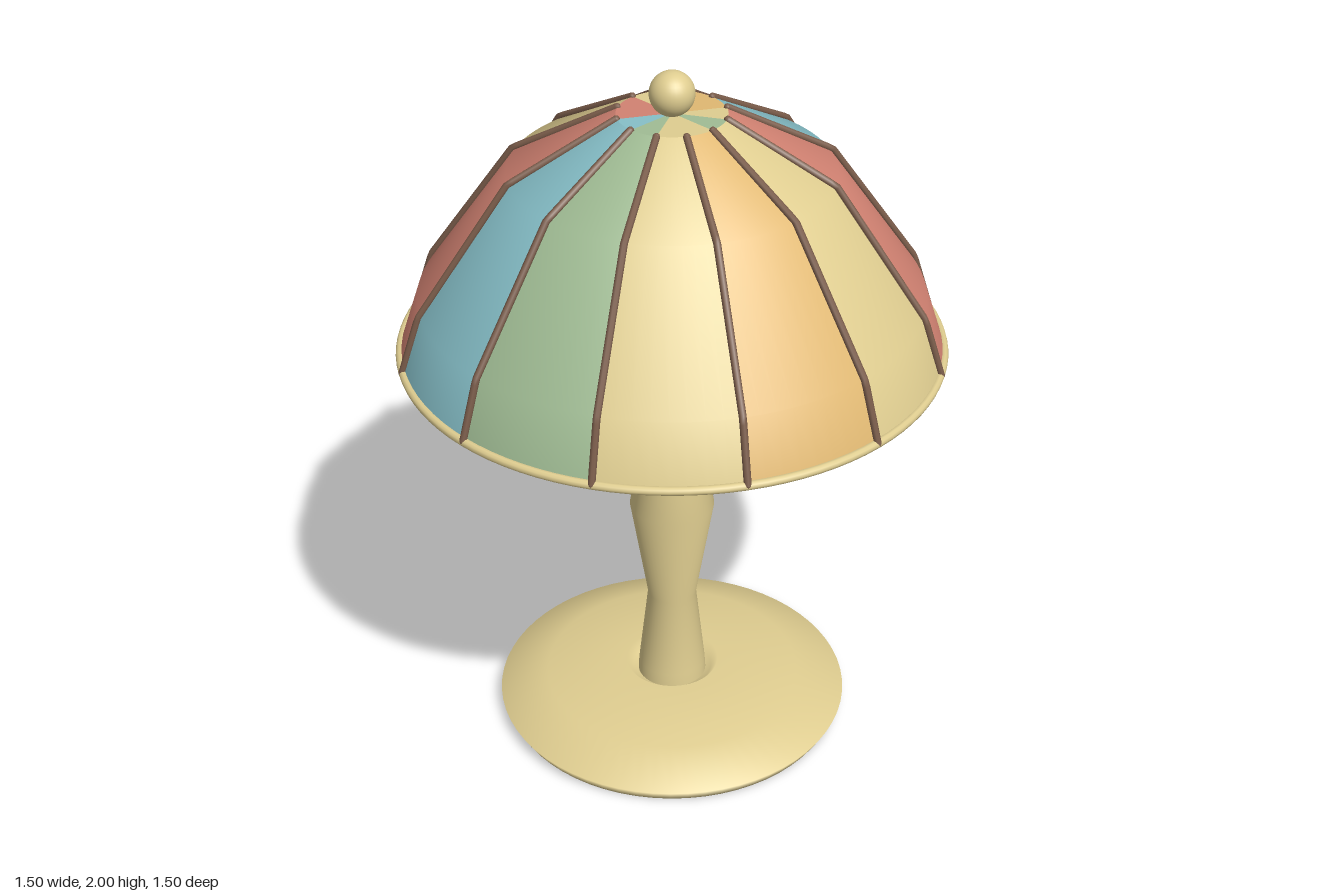
import * as THREE from 'three';

const material = (name, color) => {
  const m = new THREE.MeshStandardMaterial({ color });
  m.name = name;
  return m;
};

export function createModel() {
  const lamp = new THREE.Group();
  lamp.name = 'tableLamp';

  const beige = material('beige', 0xdfcd90);
  const orange = material('amber', 0xe0b872);
  const green = material('sageGreen', 0xa0bc94);
  const blue = material('skyBlue', 0x86bfc8);
  const red = material('coralRed', 0xd28272);
  const brown = material('brown', 0x7a5c4a);

  const add = (name, geometry, mat, parent = lamp) => {
    const mesh = new THREE.Mesh(geometry, mat);
    mesh.name = name;
    parent.add(mesh);
    return mesh;
  };
  const points = (list) => list.map(([r, y]) => new THREE.Vector2(r, y));

  // Base dish with a small recess around the stem
  add('base', new THREE.LatheGeometry(points([
    [0, 0], [0.49, 0], [0.51, 0.035], [0.37, 0.085], [0.135, 0.117], [0.115, 0.09], [0.07, 0.08],
  ]), 64), beige);

  // Turned stem
  add('stem', new THREE.LatheGeometry(points([
    [0.1, 0.08], [0.097, 0.125], [0.07, 0.37], [0.12, 0.68], [0.073, 0.93], [0.048, 1.17],
  ]), 48), beige);
  add('stemTop', new THREE.CircleGeometry(0.048, 48).rotateX(-Math.PI / 2), beige).position.y = 1.17;

  // Shade: twelve coloured panels, each with its cap and underside sector
  const step = Math.PI / 6;
  const shadeProfile = points([[0.735, 1.215], [0.68, 1.38], [0.432, 1.73], [0.145, 1.885]]);
  const panelColors = [orange, beige, green, blue, red, beige];
  const capColors = [beige, beige, green, blue, red, red, beige, beige, orange, orange, beige, green];
  const shade = new THREE.Group();
  shade.name = 'shade';
  lamp.add(shade);

  // Rib path just outside the panels
  const ribPath = new THREE.CurvePath();
  const ribPoints = [[0.738, 1.22], [0.686, 1.38], [0.437, 1.733], [0.147, 1.885]]
    .map(([r, y]) => new THREE.Vector3(r, y, 0));
  for (let k = 0; k < 3; k++) ribPath.add(new THREE.LineCurve3(ribPoints[k], ribPoints[k + 1]));
  const ribGeometry = new THREE.TubeGeometry(ribPath, 48, 0.01, 8);
  const ribEnd = new THREE.SphereGeometry(0.01, 8, 6);

  for (let i = 0; i < 12; i++) {
    add('panel', new THREE.LatheGeometry(shadeProfile, 8, Math.PI / 2 - (i + 1) * step, step),
      panelColors[i % 6], shade);
    add('capSector', new THREE.CircleGeometry(0.145, 8, -(i + 1) * step, step).rotateX(-Math.PI / 2),
      capColors[i], shade).position.y = 1.885;
    add('undersideSector', new THREE.CircleGeometry(0.735, 8, i * step, step).rotateX(Math.PI / 2),
      i === 10 ? orange : capColors[i], shade).position.y = 1.215;

    const rib = new THREE.Group();
    rib.name = 'rib';
    rib.rotation.y = i * step;
    add('ribBar', ribGeometry, brown, rib);
    for (const p of [ribPoints[0], ribPoints[3]]) add('ribEnd', ribEnd, brown, rib).position.copy(p);
    shade.add(rib);
  }

  // Rim ring
  add('rim', new THREE.TorusGeometry(0.735, 0.012, 10, 96).rotateX(Math.PI / 2), beige, shade)
    .position.y = 1.217;

  // Finial ball
  add('finial', new THREE.SphereGeometry(0.06, 32, 20), beige).position.y = 1.94;

  // Pull chain
  add('pullChain', new THREE.CylinderGeometry(0.004, 0.004, 0.29, 8), beige).position.set(0.18, 1.07, 0);
  add('pullBead', new THREE.SphereGeometry(0.024, 20, 14), beige).position.set(0.18, 0.915, 0);

  return lamp;
}
